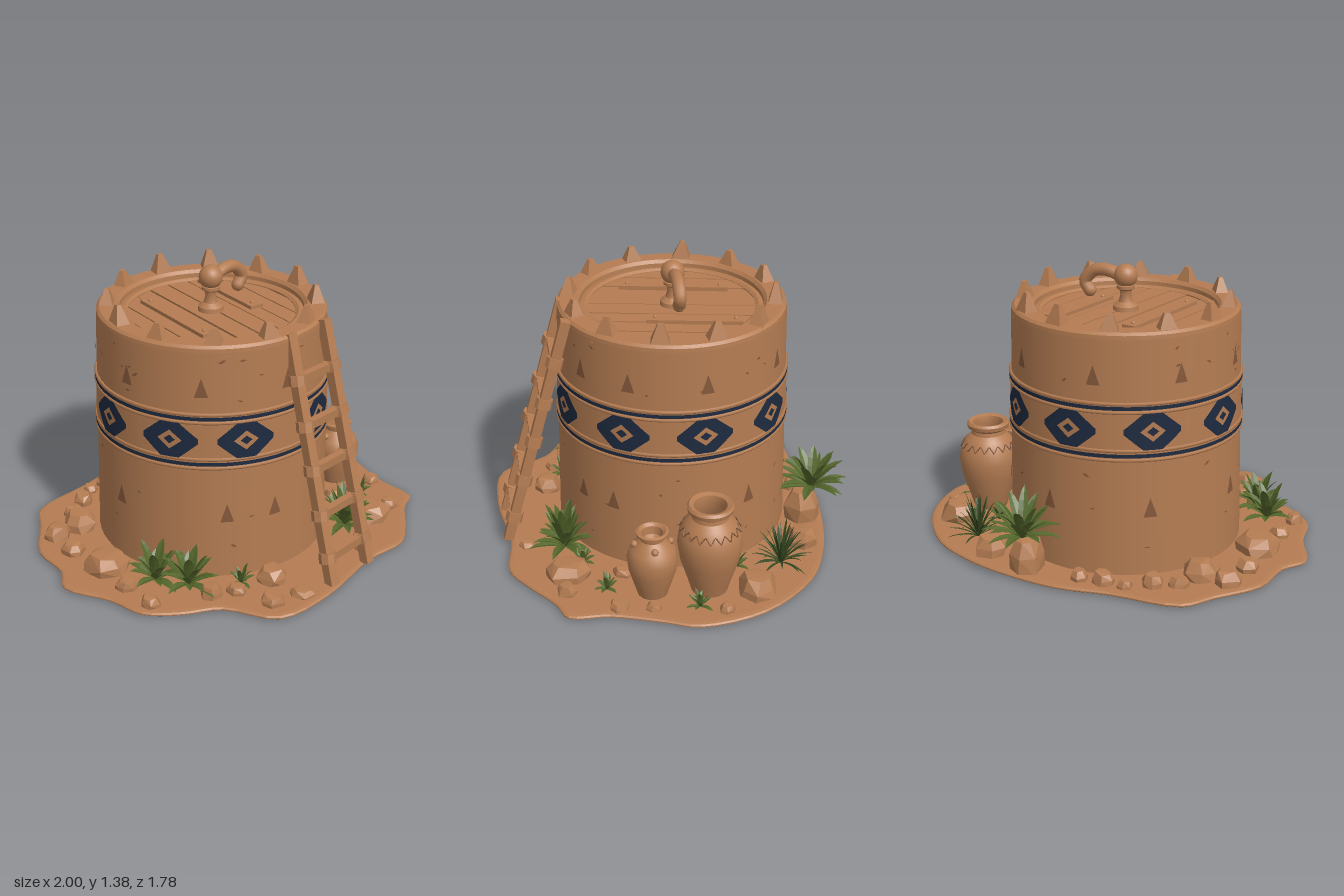
import * as THREE from 'three';
import { toCreasedNormals } from 'three/addons/utils/BufferGeometryUtils.js';
import { ConvexGeometry } from 'three/addons/geometries/ConvexGeometry.js';

const mat = (name, color, side = THREE.FrontSide) => new THREE.MeshStandardMaterial({ name, color, side });
const V = (x, y, z) => new THREE.Vector3(x, y, z);
const wallR = (y) => 0.58 - 0.021 * y; // tower radius at a height

export function createModel() {
  const clay = mat('clay', 0xb47c52);
  const shade = mat('dark clay', 0x85583a);
  const navy = mat('navy paint', 0x1d2a3f);
  const leafGreen = mat('leaf green', 0x54662b, THREE.DoubleSide);
  const grassGreen = mat('grass green', 0x37481f, THREE.DoubleSide);

  let seed = 7;
  const rnd = (a = 0, b = 1) => {
    seed = (seed * 16807) % 2147483647;
    return a + (b - a) * (seed / 2147483647);
  };
  const model = new THREE.Group();
  const group = (name, x = 0, y = 0, z = 0, parent = model) => {
    const g = new THREE.Group();
    g.name = name;
    g.position.set(x, y, z);
    parent.add(g);
    return g;
  };
  const add = (parent, name, geo, m = clay, x = 0, y = 0, z = 0) => {
    const mesh = new THREE.Mesh(geo, m);
    mesh.name = name;
    mesh.position.set(x, y, z);
    parent.add(mesh);
    return mesh;
  };
  const lathe = (pts, seg = 48) =>
    toCreasedNormals(new THREE.LatheGeometry(pts.map((p) => new THREE.Vector2(...p)), seg), 0.6);
  const flat = (geo) => {
    const g = geo.toNonIndexed();
    g.computeVertexNormals();
    return g;
  };
  const fromFaces = (pos, idx) => {
    const g = new THREE.BufferGeometry();
    g.setAttribute('position', new THREE.Float32BufferAttribute(pos, 3));
    g.setIndex(idx);
    g.computeVertexNormals();
    return g;
  };

  // Ground slab with a ragged outline (x, z)
  const outline = [[1, 0], [0.94, -0.32], [0.73, -0.59], [0.52, -0.7], [0.3, -0.76], [0, -0.79], [-0.26, -0.75],
    [-0.61, -0.72], [-0.72, -0.59], [-0.88, -0.4], [-0.92, -0.19], [-1, -0.07], [-0.92, 0.16], [-0.89, 0.35],
    [-0.77, 0.48], [-0.61, 0.59], [-0.48, 0.83], [-0.18, 0.87], [0.19, 0.82], [0.43, 0.84], [0.57, 0.76],
    [0.73, 0.64], [0.84, 0.59], [0.86, 0.4], [0.94, 0.16]];
  const edge = new THREE.CatmullRomCurve3(outline.map(([x, z]) => V(x, -z, 0)), true).getPoints(100);
  const slab = new THREE.ExtrudeGeometry(new THREE.Shape(edge.map((p) => new THREE.Vector2(p.x, p.y))),
    { depth: 0.006, bevelThickness: 0.008, bevelSize: 0.025, bevelOffset: -0.025, bevelSegments: 2 });
  add(model, 'ground', slab.rotateX(-Math.PI / 2), clay, 0, 0.008, 0);

  // Tower wall, rim and raised band
  const tower = group('tower', -0.035, 0, -0.03);
  add(tower, 'wall', new THREE.CylinderGeometry(wallR(1.17), wallR(0), 1.17, 56, 1, true), clay, 0, 0.585, 0);
  add(tower, 'rim', lathe([[0.555, 1.165], [0.553, 1.188], [0.54, 1.2], [0.46, 1.2], [0.445, 1.185], [0.44, 1.12]]));
  add(tower, 'band', new THREE.CylinderGeometry(wallR(0.87) + 0.005, wallR(0.6) + 0.005, 0.27, 56, 1, true),
    clay, 0, 0.735, 0);
  for (const y of [0.6, 0.645, 0.83, 0.87]) {
    const ridge = new THREE.TorusGeometry(wallR(y) + 0.003, 0.009, 6, 56).rotateX(Math.PI / 2);
    add(tower, 'bandRidge', ridge, clay, 0, y, 0);
  }

  // Thin plate wrapped on the wall between two height functions
  const patch = (name, deg, y, half, lo, hi, m, lift = 0.003, n = 16) => {
    const pos = [], idx = [];
    for (let i = 0; i <= n; i++) {
      const u = half * ((2 * i) / n - 1);
      const a = (deg * Math.PI) / 180 + u / 0.57;
      for (const h of [y + lo(u), y + hi(u)]) {
        const r = wallR(h) + lift;
        pos.push(r * Math.sin(a), h, r * Math.cos(a));
      }
      const k = 2 * i;
      if (i < n) idx.push(k, k + 2, k + 3, k, k + 3, k + 1);
    }
    add(tower, name, fromFaces(pos, idx), m);
  };
  for (const y of [0.622, 0.851]) {
    patch('paintedLine', 0, y, Math.PI * 0.57, () => -0.009, () => 0.009, navy, 0.009, 72);
  }
  const outer = (u) => 0.012 + 0.076 * Math.min(1, (0.135 - Math.abs(u)) / 0.09);
  const inner = (u) => Math.max(0, 0.048 * (1 - Math.abs(u) / 0.06));
  const core = (u) => 0.022 * (1 - Math.abs(u) / 0.028);
  for (const a of [16, 57, 97, 137, 176, -144, -104, -66, -30]) {
    patch('paintedDiamond', a, 0.738, 0.135, inner, outer, navy, 0.009, 18);
    patch('paintedDiamond', a, 0.738, 0.135, (u) => -outer(u), (u) => -inner(u), navy, 0.009, 18);
    patch('diamondCentre', a, 0.738, 0.028, (u) => -core(u), core, navy, 0.009, 4);
  }
  // Triangular niches and small chips
  const niche = (a, y) => patch('niche', a, y, 0.032, () => -0.045, (u) => 0.05 - Math.abs(u) * 2.9, shade, 0.003, 4);
  for (const a of [-51, -8, 32, 60, 98, 143, 188, 230, 270]) niche(a, 1.0);
  for (const a of [-39, -15, 33, 52, 121, 165, 215, 265]) niche(a, 0.36);
  for (let i = 0; i < 44; i++) {
    const half = rnd(0.008, 0.022), h = rnd(0.003, 0.008), tilt = rnd(-0.5, 0.5);
    patch('chip', rnd(0, 360), i % 2 ? rnd(0.92, 1.15) : rnd(0.1, 0.55), half,
      (u) => tilt * u - h * (1 - Math.abs(u) / half), (u) => tilt * u + h * (1 - Math.abs(u) / half), shade, 0.003, 2);
  }
  // Stone teeth around the rim
  for (let i = 0; i < 12; i++) {
    const a = ((15 + 30 * i) * Math.PI) / 180, h = rnd(0.115, 0.14);
    const geo = flat(new THREE.CylinderGeometry(0.018, 0.085, h, 4).rotateY(Math.PI / 4));
    const tooth = add(tower, 'rimTooth', geo, clay, 0.5 * Math.sin(a), 1.155 + h / 2, 0.5 * Math.cos(a));
    tooth.rotation.set(0, a + rnd(-0.2, 0.2), rnd(-0.1, 0.1));
    tooth.scale.z = 0.75;
  }

  // Plank lid
  const lid = group('lid', 0, 1.12, 0, tower);
  lid.rotation.y = -0.2;
  add(lid, 'lidBase', new THREE.CylinderGeometry(0.45, 0.45, 0.02, 48), shade);
  add(lid, 'lidRing', lathe([[0.445, 0], [0.445, 0.045], [0.42, 0.05], [0.405, 0.04], [0.405, 0]]));
  const cuts = [-0.4, -0.31, -0.2, -0.1, 0.01, 0.12, 0.21, 0.31, 0.4];
  for (let i = 0; i < cuts.length - 1; i++) {
    const a = cuts[i] + 0.004, b = cuts[i + 1] - 0.004, pts = [];
    for (const s of [-1, 1]) {
      for (let k = 0; k <= 6; k++) {
        const x = s < 0 ? a + ((b - a) * k) / 6 : b - ((b - a) * k) / 6;
        pts.push(new THREE.Vector2(x, s * Math.sqrt(0.165 - x * x)));
      }
    }
    const plank = new THREE.ExtrudeGeometry(new THREE.Shape(pts), { depth: rnd(0.02, 0.03), bevelEnabled: false });
    add(lid, 'plank', plank.rotateX(-Math.PI / 2), clay, 0, 0.01, 0);
  }
  for (const [x, z, len] of [[-0.2, 0, 0.54], [0.19, -0.12, 0.46]]) {
    add(lid, 'batten', new THREE.BoxGeometry(0.07, 0.02, len), clay, x, 0.045, z);
    for (const s of [-1, 1]) add(lid, 'nail', new THREE.SphereGeometry(0.011, 8, 6), clay, x, 0.056, z + s * (len / 2 - 0.04));
  }

  // Knob and curved handle
  const handle = group('handle', -0.035, 0, -0.035);
  add(handle, 'knobStem', lathe([[0.065, 1.14], [0.06, 1.18], [0.035, 1.2], [0.026, 1.23], [0.03, 1.255],
    [0.045, 1.265], [0.045, 1.28], [0.025, 1.29]], 20));
  add(handle, 'knob', new THREE.SphereGeometry(0.058, 20, 14), clay, 0, 1.325, 0);
  const arm = new THREE.CatmullRomCurve3([V(0.03, 1.325, 0), V(0.1, 1.345, 0), V(0.165, 1.335, 0), V(0.215, 1.28, 0), V(0.19, 1.235, 0)]);
  add(handle, 'handleArm', new THREE.TubeGeometry(arm, 20, 0.031, 10), clay);
  add(handle, 'handleEnd', new THREE.SphereGeometry(0.032, 10, 8), clay, 0.19, 1.235, 0);

  // Leaning ladder
  const ladder = group('ladder');
  const onRail = (s, t) => V(0.025 + s * (0.135 - 0.012 * t) + 0.018 * t, 0.02 + 1.18 * t, 0.83 - 0.33 * t);
  const bar = (name, a, b, w, d) => {
    const mesh = add(ladder, name, new THREE.BoxGeometry(w, d, a.distanceTo(b)), clay);
    mesh.position.copy(a).lerp(b, 0.5);
    mesh.lookAt(b);
  };
  for (const s of [-1, 1]) bar('rail', onRail(s, 0), onRail(s, 1), 0.048, 0.048);
  for (const t of [0.11, 0.285, 0.465, 0.64, 0.82]) {
    const a = onRail(-1.25, t), b = onRail(1.25, t);
    a.y += rnd(-0.01, 0.01);
    bar('rung', a, b, 0.036, 0.04);
    for (const s of [-1, 1]) {
      const tie = add(ladder, 'ropeTie', flat(new THREE.CylinderGeometry(0.042, 0.042, 0.05, 8)));
      tie.position.copy(onRail(s, t));
      tie.rotation.set(-0.27, 0, s * 0.15);
    }
  }

  // Clay pots
  const pot = (name, x, z, profile) => {
    const g = group(name, x, 0.005, z);
    add(g, 'potBody', lathe(profile, 32));
    return g;
  };
  const bigPot = pot('bigPot', 0.72, -0.09, [[0, 0.01], [0.085, 0.01], [0.105, 0.08], [0.14, 0.19], [0.154, 0.28],
    [0.146, 0.34], [0.115, 0.395], [0.088, 0.42], [0.085, 0.44], [0.106, 0.455], [0.11, 0.475], [0.1, 0.487],
    [0.078, 0.48], [0.07, 0.44], [0.1, 0.36], [0, 0.34]]);
  const zig = Array.from({ length: 36 }, (_, i) => {
    const a = (i * Math.PI) / 18, r = i % 2 ? 0.128 : 0.145;
    return V(r * Math.sin(a), i % 2 ? 0.382 : 0.35, r * Math.cos(a));
  });
  add(bigPot, 'zigzagGroove', new THREE.TubeGeometry(new THREE.CatmullRomCurve3(zig, true, 'catmullrom', 0.1), 144, 0.003, 4, true), shade);
  const smallPot = pot('smallPot', 0.71, 0.18, [[0, 0.01], [0.07, 0.01], [0.085, 0.06], [0.112, 0.15], [0.12, 0.22],
    [0.105, 0.27], [0.07, 0.305], [0.058, 0.32], [0.06, 0.335], [0.076, 0.345], [0.077, 0.357], [0.065, 0.362],
    [0.05, 0.35], [0.045, 0.31], [0, 0.28]]);
  for (let i = 0; i < 4; i++) {
    const a = (i * Math.PI) / 2;
    add(smallPot, 'potLug', new THREE.SphereGeometry(0.018, 8, 6), clay, 0.085 * Math.sin(a), 0.295, 0.085 * Math.cos(a));
  }

  // Loose rocks: x, z, radius, height
  const rocks = group('rocks');
  for (const [x, z, r, h] of [[-0.59, -0.43, 0.085, 0.1], [-0.73, -0.44, 0.07, 0.08], [-0.77, -0.27, 0.06, 0.07],
    [-0.75, -0.05, 0.11, 0.1], [-0.42, -0.6, 0.055, 0.07], [-0.53, -0.55, 0.05, 0.06], [-0.31, -0.67, 0.04, 0.05],
    [-0.2, -0.67, 0.055, 0.07], [-0.08, -0.68, 0.045, 0.06], [0.2, -0.67, 0.095, 0.17], [0.43, -0.61, 0.08, 0.1],
    [0.78, -0.31, 0.1, 0.1], [0.91, -0.14, 0.04, 0.05], [0.84, 0.19, 0.04, 0.04], [0.52, 0.56, 0.11, 0.09],
    [0.66, 0.58, 0.05, 0.06], [0.81, 0.35, 0.05, 0.05], [0.24, 0.74, 0.045, 0.04], [-0.28, 0.6, 0.075, 0.08],
    [-0.42, 0.73, 0.06, 0.06], [-0.27, 0.78, 0.06, 0.04], [-0.57, 0.48, 0.06, 0.07], [-0.47, 0.55, 0.05, 0.05],
    [-0.82, 0.33, 0.05, 0.06], [-0.8, 0.15, 0.055, 0.06], [0.55, 0.3, 0.05, 0.05]]) {
    const pts = [], turn = rnd(0, 6);
    for (const [s, t] of [[1, 0], [1, 0.55], [0.68, 1]]) {
      for (let k = 0; k < 6; k++) {
        const a = turn + (k * Math.PI) / 3 + rnd(-0.2, 0.2), q = r * s * rnd(0.85, 1.08);
        pts.push(V(q * Math.cos(a), 0.008 + h * t * rnd(0.9, 1.05), q * Math.sin(a)));
      }
    }
    add(rocks, 'rock', new ConvexGeometry(pts), clay, x, 0, z);
  }

  // Folded, arching leaf
  const leaf = (len, width, rise, droop) => {
    const pos = [], idx = [], n = 5;
    for (let i = 0; i <= n; i++) {
      const t = i / n, w = width * Math.pow(Math.sin(Math.PI * (0.12 + 0.88 * t)), 0.8);
      const y = len * (rise * t - droop * t * t), z = len * t * Math.cos(rise * 0.6);
      pos.push(-w, y + w * 0.35, z, 0, y, z, w, y + w * 0.35, z);
      const k = 3 * i;
      if (i < n) for (const j of [k, k + 1]) idx.push(j, j + 3, j + 4, j, j + 4, j + 1);
    }
    return flat(fromFaces(pos, idx));
  };
  const plant = (name, m, x, y, z, count, len, width, steep) => {
    const g = group(name, x, y, z);
    for (let i = 0; i < count; i++) {
      const t = i / count, rise = 0.35 + steep * t;
      add(g, 'leaf', leaf(len * rnd(0.85, 1.1), width, rise, 0.35 + 0.15 * t), m).rotation.y = i * 2.4 + rnd(-0.2, 0.2);
    }
  };
  plant('backPalm', leafGreen, 0.2, 0.19, -0.71, 30, 0.2, 0.024, 1.3);
  plant('leftBush', leafGreen, -0.7, 0.06, 0.24, 20, 0.15, 0.024, 1.5);
  plant('leftBush', leafGreen, -0.61, 0.05, 0.37, 20, 0.16, 0.024, 1.5);
  plant('frontBush', leafGreen, 0.32, 0.05, 0.56, 34, 0.17, 0.023, 1.75);
  plant('grassTuft', grassGreen, 0.58, 0.02, -0.47, 44, 0.16, 0.007, 1.8);
  for (const [x, z] of [[0.58, -0.25], [0.66, 0.39], [0.86, -0.02], [-0.4, 0.51], [0.43, 0.48]]) {
    plant('sprout', leafGreen, x, 0.02, z, 12, 0.075, 0.012, 1.6);
  }
  return model;
}
